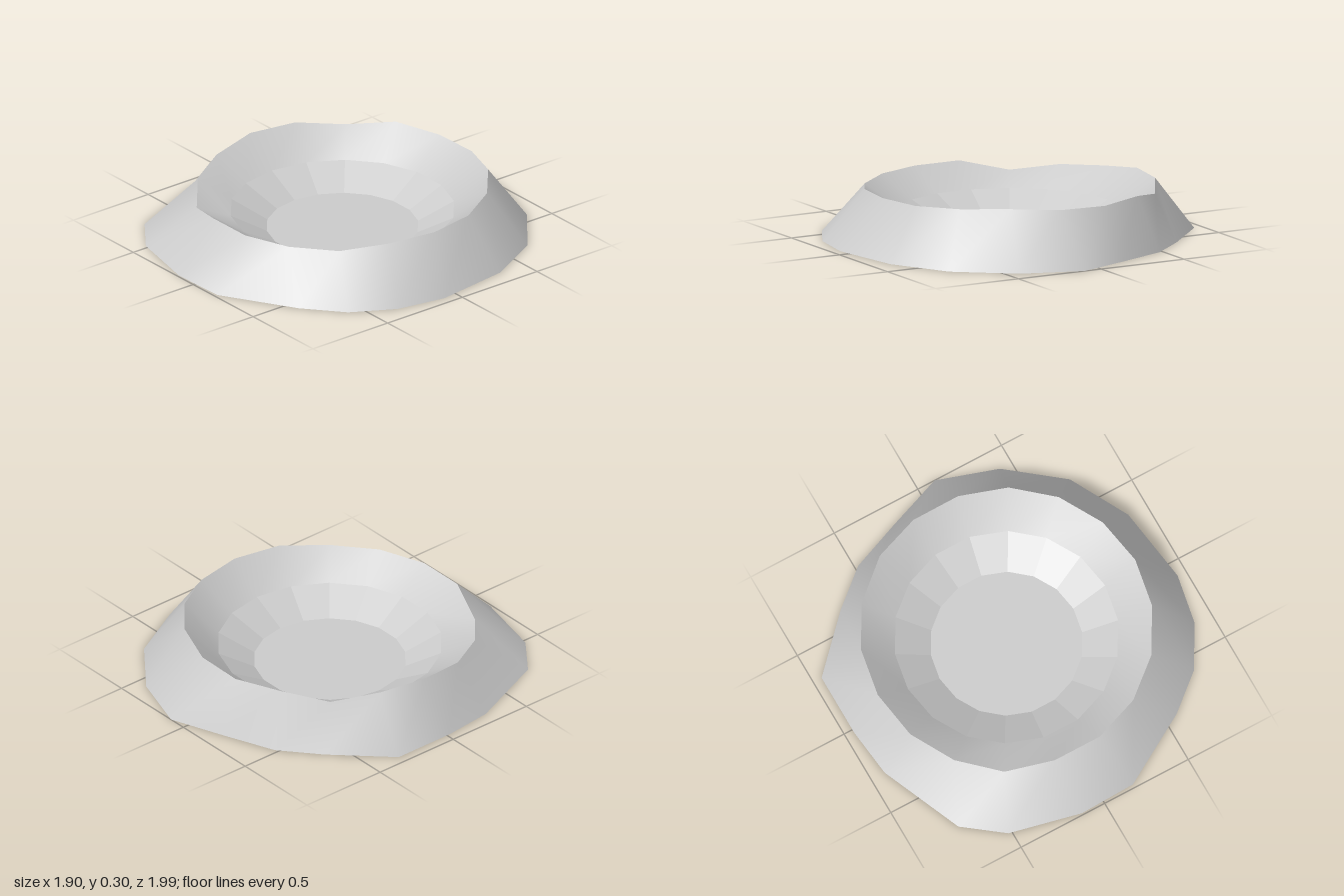
import * as THREE from 'three';

const SIDES = 18;

// Irregular foot of the crater (x, z), one point every 20 degrees or so
const FOOT = [
  [0.95, 0.08], [0.90, 0.35], [0.77, 0.58], [0.57, 0.75], [0.18, 0.98], [-0.13, 0.99],
  [-0.52, 0.90], [-0.73, 0.74], [-0.92, 0.29], [-0.95, 0.02], [-0.95, -0.33], [-0.68, -0.61],
  [-0.48, -0.78], [-0.20, -0.89], [0.10, -1.0], [0.43, -0.89], [0.72, -0.66], [0.89, -0.34],
];

// Uneven height of the rim at the same steps
const RIM_HEIGHTS = [
  0.28, 0.275, 0.25, 0.25, 0.25, 0.25, 0.19, 0.23, 0.25,
  0.28, 0.28, 0.25, 0.29, 0.28, 0.285, 0.30, 0.29, 0.28,
];

// Regular ring around the bowl's axis; height is a function of the step
function ring(radius, height) {
  return Array.from({ length: SIDES }, (_, i) => {
    const a = (i / SIDES) * Math.PI * 2;
    return [-0.02 + radius * Math.cos(a), height(i), -0.015 + radius * Math.sin(a)];
  });
}

// Closed band between two rings
function band(from, to) {
  const index = [];
  for (let i = 0; i < SIDES; i++) {
    const j = (i + 1) % SIDES;
    index.push(i, SIDES + i, j, j, SIDES + i, SIDES + j);
  }
  return build([...from, ...to], index);
}

// Flat cap fanned from a centre point, facing up or down
function cap(points, y, up) {
  const index = [];
  for (let i = 0; i < SIDES; i++) {
    const j = (i + 1) % SIDES;
    index.push(...(up ? [i, SIDES, j] : [i, j, SIDES]));
  }
  return build([...points, [0, y, 0]], index);
}

function build(points, index) {
  const geometry = new THREE.BufferGeometry();
  geometry.setAttribute('position', new THREE.Float32BufferAttribute(points.flat(), 3));
  geometry.setIndex(index);
  geometry.computeVertexNormals();
  return geometry;
}

export function createModel() {
  const crater = new THREE.Group();
  crater.name = 'crater';
  const smooth = new THREE.MeshStandardMaterial({ color: 0xcccccc });
  const faceted = new THREE.MeshStandardMaterial({ color: 0xcccccc, flatShading: true });

  const foot = FOOT.map(([x, z]) => [x, 0, z]);
  const rim = ring(0.77, (i) => RIM_HEIGHTS[i]);
  const ledge = ring(0.59, () => 0.13);
  const floor = ring(0.4, () => 0.03);

  const add = (name, geometry, material) => {
    const mesh = new THREE.Mesh(geometry, material);
    mesh.name = name;
    crater.add(mesh);
  };

  add('outerSlope', band(foot, rim), smooth);
  add('innerSlope', band(rim, ledge), smooth);
  add('lowerSlope', band(ledge, floor), faceted);
  add('craterFloor', cap(floor, 0.03, true), faceted);
  add('base', cap(foot, 0, false), faceted);
  return crater;
}
